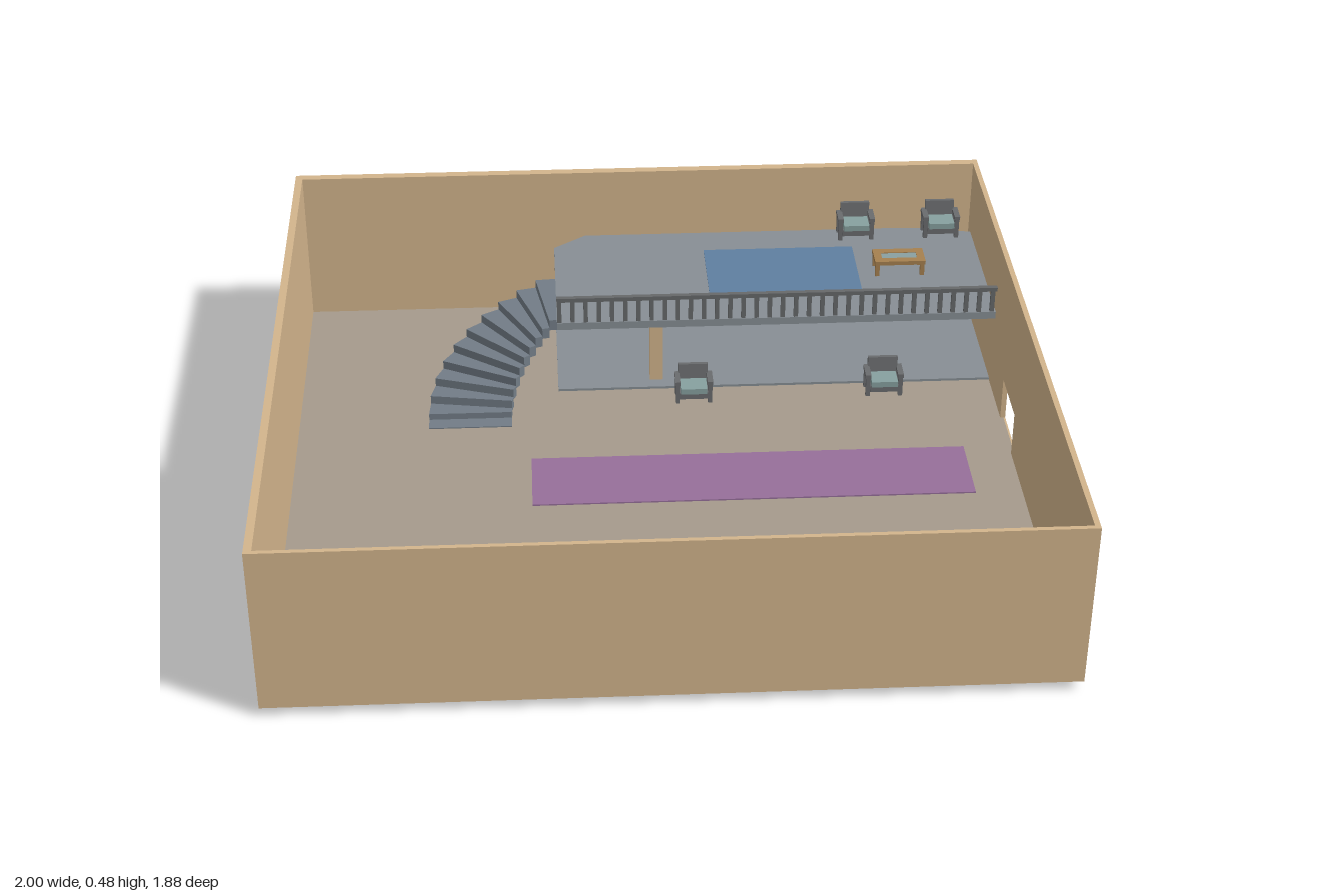
import * as THREE from 'three';

const mat = (color) => new THREE.MeshStandardMaterial({ color });
const WALL = mat(0xd2b48c), FLOOR = mat(0xa59a8c), DECK = mat(0x878e94), STEP = mat(0x727c86);
const BLUE = mat(0x5f7fa0), PURPLE = mat(0x966f9a), COUNTER = mat(0x5f6f7e), RAIL = mat(0x66686a);
const FRAME = mat(0x6a6c6e), CUSHION = mat(0x86a09f), LEATHER = mat(0x553a3a);
const WOOD = mat(0xa5804f), GLASS = mat(0x8aa0a0);

const FLOOR_Y = 0.035, DECK_Y = 0.272;

// Box given by its limits on each axis
function box(parent, name, material, x0, x1, y0, y1, z0, z1) {
  const mesh = new THREE.Mesh(new THREE.BoxGeometry(x1 - x0, y1 - y0, z1 - z0), material);
  mesh.position.set((x0 + x1) / 2, (y0 + y1) / 2, (z0 + z1) / 2);
  mesh.name = name;
  parent.add(mesh);
  return mesh;
}

// Flat slab from an outline of [x, z] points
function slab(parent, name, material, shape, y0, y1) {
  const geometry = new THREE.ExtrudeGeometry(shape, { depth: y1 - y0, bevelEnabled: false, curveSegments: 8 });
  geometry.rotateX(-Math.PI / 2);
  const mesh = new THREE.Mesh(geometry, material);
  mesh.position.y = y0;
  mesh.name = name;
  parent.add(mesh);
}
const outline = (points) => new THREE.Shape(points.map(([x, z]) => new THREE.Vector2(x, -z)));

function group(parent, name, x = 0, y = 0, z = 0, turn = 0) {
  const g = new THREE.Group();
  g.name = name;
  g.position.set(x, y, z);
  g.rotation.y = turn;
  parent.add(g);
  return g;
}

// Floor and four walls, with a doorway in the left wall
function addRoom(model) {
  const room = group(model, 'room');
  box(room, 'floor', FLOOR, -0.99, 0.985, 0.025, FLOOR_Y, -0.92, 0.935);
  box(room, 'backWall', WALL, -1, 0.99, 0.025, 0.48, -0.925, -0.9);
  box(room, 'frontWall', WALL, -1, 0.99, 0.025, 0.48, 0.928, 0.94);
  box(room, 'rightWall', WALL, -1, -0.98, 0.025, 0.48, -0.9, 0.928);
  const wall = group(room, 'leftWall');
  box(wall, 'wallBehindDoor', WALL, 0.976, 0.99, 0.025, 0.48, -0.9, -0.22);
  box(wall, 'wallBesideDoor', WALL, 0.976, 0.99, 0.025, 0.48, -0.04, 0.928);
  box(wall, 'wallAboveDoor', WALL, 0.976, 0.99, 0.16, 0.48, -0.22, -0.04);
  box(wall, 'doorSill', WALL, 0.976, 0.99, 0.025, FLOOR_Y, -0.22, -0.04);
}

// Raised deck, the plate below it, the column and the railing
function addMezzanine(model) {
  const mezzanine = group(model, 'mezzanine');
  slab(mezzanine, 'upperDeck', DECK, outline([[-0.257, -0.4], [0.995, -0.4], [0.995, -0.82],
    [0.98, -0.865], [0.83, -0.895], [0.6, -0.915], [-0.09, -0.915], [-0.165, -0.9], [-0.257, -0.83]]), 0.25, DECK_Y);
  slab(mezzanine, 'lowerPlate', DECK, outline([[-0.257, -0.42], [0.995, -0.42], [0.995, -0.89],
    [0.62, -0.925], [0.27, -0.945], [0, -0.945], [-0.09, -0.927], [-0.257, -0.85]]), 0.03, 0.042);
  box(mezzanine, 'column', WALL, 0.005, 0.042, FLOOR_Y, 0.25, -0.495, -0.458);
  box(mezzanine, 'upperRug', BLUE, 0.18, 0.615, DECK_Y, DECK_Y + 0.003, -0.79, -0.53);

  const railing = group(mezzanine, 'railing');
  box(railing, 'handrail', RAIL, -0.257, 0.976, 0.338, 0.35, -0.414, -0.4);
  const count = 34;
  for (let i = 0; i < count; i++) {
    const x = -0.25 + (i * 1.215) / (count - 1);
    box(railing, 'baluster', RAIL, x - 0.006, x + 0.006, DECK_Y, 0.338, -0.412, -0.402);
  }
}

// Quarter-turn staircase: one straight step, then wedge treads
function addStairs(model) {
  const stairs = group(model, 'stairs');
  const treads = 10, rise = 0.0245;
  box(stairs, 'firstStep', STEP, -0.62, -0.39, 0, 0.038, -0.285, -0.242);
  // The inner and outer edges follow ellipses around the deck corner
  const at = (rx, rz, a) => [-0.257 - rx * Math.cos(a), -0.285 - rz * Math.sin(a)];
  for (let i = 0; i < treads; i++) {
    const a = (i / treads) * Math.PI / 2, b = ((i + 1) / treads) * Math.PI / 2;
    const y = (i + 1) * rise;
    slab(stairs, 'tread', STEP, outline([at(0.363, 0.355, a), at(0.133, 0.125, a),
      at(0.133, 0.125, b), at(0.363, 0.355, b)]), y, y + 0.032);
  }
}

// Small armchair facing +z, standing on its own origin
function addArmchair(model, x, y, z, turn) {
  const chair = group(model, 'armchair', x, y, z, turn);
  box(chair, 'seatBase', FRAME, -0.04, 0.04, 0.015, 0.035, -0.03, 0.03);
  box(chair, 'seatCushion', CUSHION, -0.037, 0.037, 0.035, 0.052, -0.025, 0.037);
  const back = box(chair, 'backrest', FRAME, -0.042, 0.042, 0.03, 0.095, -0.036, -0.023);
  back.rotation.x = -0.12;
  for (const side of [-1, 1]) {
    const cx = side * 0.046;
    box(chair, 'armrest', FRAME, cx - 0.008, cx + 0.008, 0.058, 0.069, -0.034, 0.027);
    for (const cz of [-0.027, 0.021]) {
      box(chair, 'leg', FRAME, cx - 0.006, cx + 0.006, 0, 0.058, cz - 0.006, cz + 0.006);
    }
  }
}

// Low table with a wooden frame and a glass centre
function addTable(model, x, y, z, width, depth) {
  const table = group(model, 'coffeeTable', x, y, z);
  const w = width / 2, d = depth / 2, rim = 0.022;
  for (const s of [-1, 1]) {
    const ex = s * (w - rim / 2), ez = s * (d - rim / 2);
    box(table, 'endRim', WOOD, ex - rim / 2, ex + rim / 2, 0.036, 0.048, -d, d);
    box(table, 'sideRim', WOOD, -w + rim, w - rim, 0.036, 0.048, ez - rim / 2, ez + rim / 2);
    for (const t of [-1, 1]) {
      const lz = t * (d - 0.008), lx = s * (w - 0.008);
      box(table, 'leg', WOOD, lx - 0.006, lx + 0.006, 0, 0.036, lz - 0.006, lz + 0.006);
    }
  }
  box(table, 'glassTop', GLASS, -w + rim, w - rim, 0.04, 0.046, -d + rim, d - rim);
}

// Sofa facing the back of the room
function addSofa(model) {
  const sofa = group(model, 'sofa', 0.545, FLOOR_Y, 0.855);
  box(sofa, 'base', LEATHER, -0.11, 0.11, 0.008, 0.03, -0.038, 0.04);
  box(sofa, 'seatCushion', LEATHER, -0.085, 0.085, 0.03, 0.045, -0.048, 0.025);
  const back = box(sofa, 'backrest', LEATHER, -0.132, 0.132, 0.03, 0.074, 0.022, 0.04);
  back.rotation.x = 0.15;
  for (const side of [-1, 1]) {
    const cx = side * 0.11;
    box(sofa, 'armrest', LEATHER, cx - 0.023, cx + 0.023, 0.045, 0.057, -0.042, 0.036);
    box(sofa, 'armPanel', LEATHER, cx - 0.014, cx + 0.014, 0, 0.045, -0.038, 0.034);
  }
}

// Hook-shaped counter with rounded back corners
function addCounter(model) {
  const s = new THREE.Shape();
  s.moveTo(-0.545, -0.82);
  s.lineTo(-0.503, -0.82);
  s.lineTo(-0.503, -0.718);
  s.lineTo(-0.273, -0.718);
  s.lineTo(-0.273, -0.928);
  s.lineTo(-0.23, -0.928);
  s.lineTo(-0.23, -0.665);
  s.quadraticCurveTo(-0.23, -0.64, -0.255, -0.64);
  s.lineTo(-0.52, -0.64);
  s.quadraticCurveTo(-0.545, -0.64, -0.545, -0.665);
  slab(model, 'counter', COUNTER, s, FLOOR_Y, 0.115);
}

export function createModel() {
  const model = new THREE.Group();
  model.name = 'lobby';
  addRoom(model);
  addMezzanine(model);
  addStairs(model);
  box(model, 'lowerRug', PURPLE, -0.337, 0.85, FLOOR_Y, FLOOR_Y + 0.004, -0.075, 0.145);
  addCounter(model);
  addSofa(model);
  addTable(model, 0.54, FLOOR_Y, 0.72, 0.18, 0.09);
  addTable(model, 0.733, DECK_Y, -0.652, 0.145, 0.075);
  addArmchair(model, 0.632, DECK_Y, -0.86, 0);
  addArmchair(model, 0.883, DECK_Y, -0.86, 0);
  addArmchair(model, 0.125, FLOOR_Y, -0.366, 0);
  addArmchair(model, 0.665, FLOOR_Y, -0.376, 0);
  addArmchair(model, 0.922, FLOOR_Y, 0.628, -Math.PI / 2);
  return model;
}
